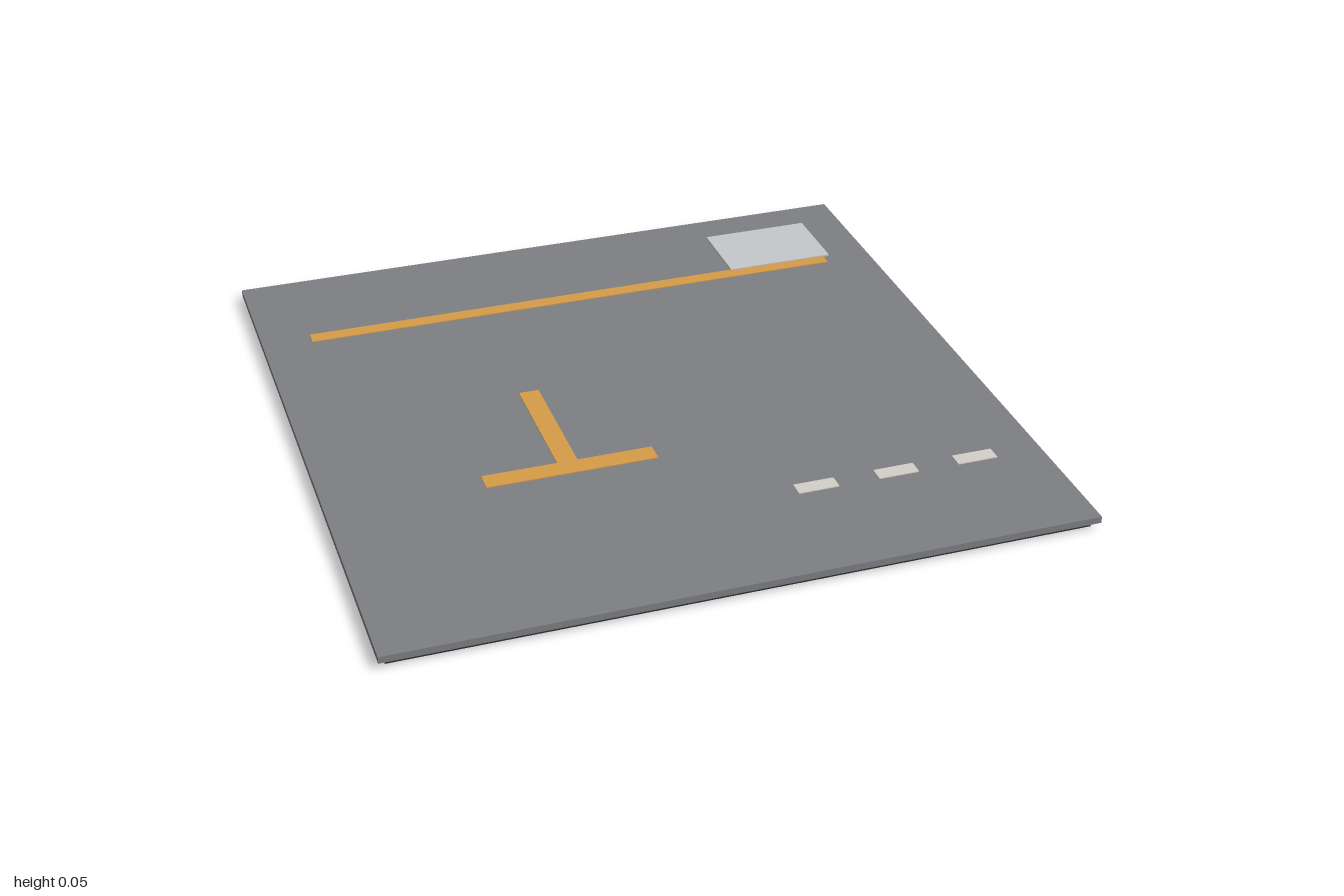
import * as THREE from 'three';

const paint = (color) => new THREE.MeshStandardMaterial({ color });

export function createModel() {
  const group = new THREE.Group();
  const asphalt = paint(0x7e7f82);
  const dark = paint(0x2f3032);
  const orange = paint(0xd59c48);
  const white = paint(0xd2d0c8);
  const pale = paint(0xc6c7cb);

  // Box given by its extents along x, y and z
  const slab = (name, material, [x0, x1], [y0, y1], [z0, z1]) => {
    const mesh = new THREE.Mesh(new THREE.BoxGeometry(x1 - x0, y1 - y0, z1 - z0), material);
    mesh.position.set((x0 + x1) / 2, (y0 + y1) / 2, (z0 + z1) / 2);
    mesh.name = name;
    group.add(mesh);
  };

  // Ground tile: wide top plate on a slightly inset base
  const top = 0.04;
  slab('base', dark, [-0.98, 0.98], [0, 0.02], [-0.98, 0.98]);
  slab('topPlate', asphalt, [-1, 1], [0.02, top], [-1, 1]);

  // Painted markings, raised a hair above the plate
  const raised = [top - 0.002, top + 0.003];
  slab('longLine', orange, [-0.85, 0.85], raised, [-0.645, -0.6]);
  slab('markStem', orange, [-0.33, -0.27], raised, [-0.11, 0.29]);
  slab('markBar', orange, [-0.55, -0.05], raised, [0.29, 0.35]);
  for (let i = 0; i < 3; i++) {
    const x = 0.26 + i * 0.24;
    slab('dash' + (i + 1), white, [x, x + 0.12], raised, [0.598, 0.643]);
  }

  // Pale patch in the back corner
  slab('patch', pale, [0.53, 0.87], [top - 0.002, top + 0.006], [-0.88, -0.64]);

  return group;
}
